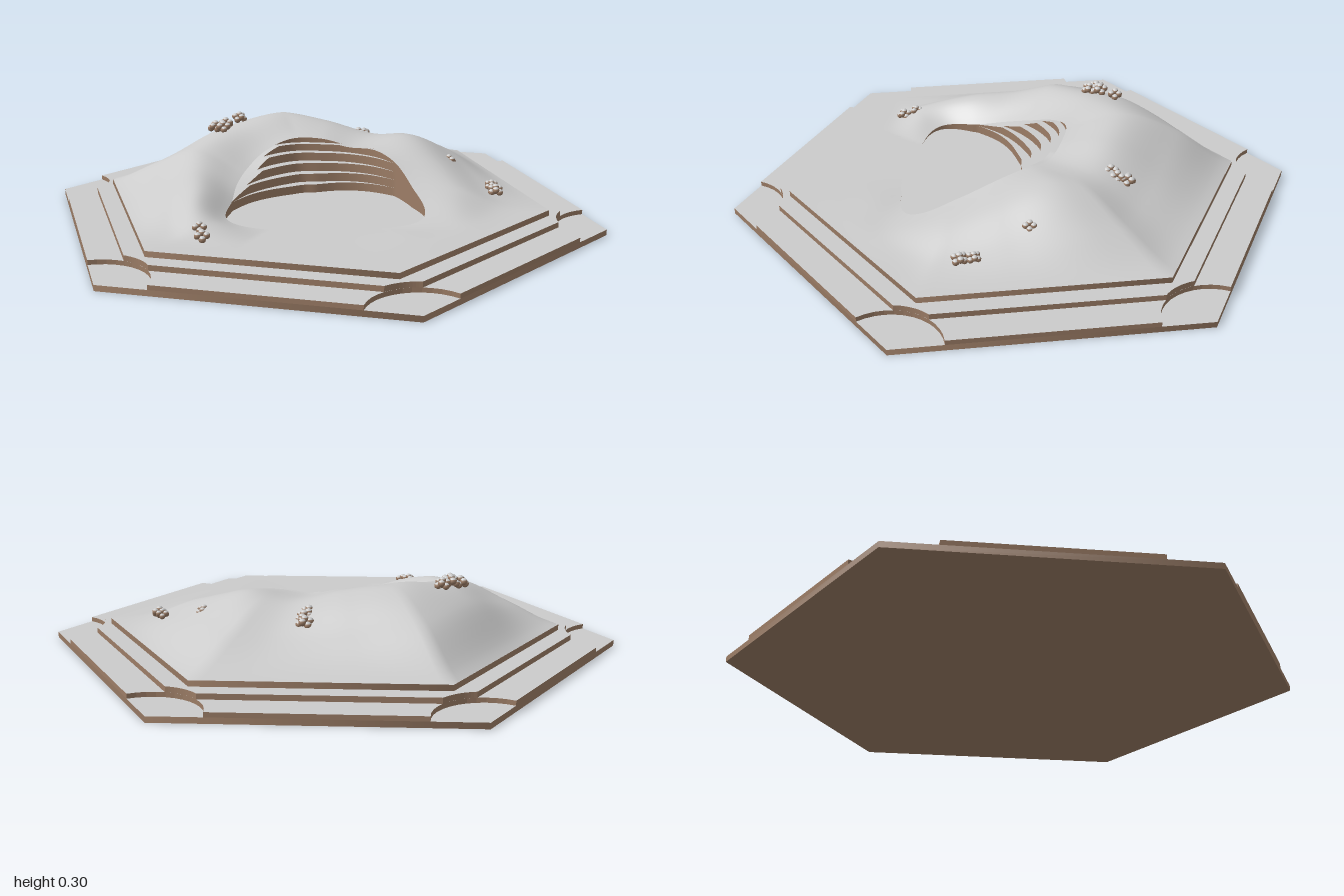
import * as THREE from 'three';

const grey = new THREE.MeshStandardMaterial({ name: 'pale ground', color: 0xcbcbcb, side: THREE.DoubleSide });
const brown = new THREE.MeshStandardMaterial({ name: 'brown earth', color: 0x9c7d66, side: THREE.DoubleSide });

const FLOOR = 0.075, CX = -0.06, CZ = 0.1, N = 192;
// clockwise from the back, every 22.5 degrees: rim radius, rim height, two heights on the way to the edge
const sectors = [
  [0.29, 0.235, 0.285, 0.21], [0.28, 0.235, 0.26, 0.17], [0.283, 0.215, 0.22, 0.14], [0.29, 0.22, 0.24, 0.165],
  [0.30, 0.20, 0.195, 0.13], [0.34, 0.15, 0.14, 0.09], [0.417, 0.09, 0.085, 0.08], [0.34, 0.075, 0.08, 0.078],
  [0.30, 0.075, 0.075, 0.075], [0.27, 0.075, 0.075, 0.075], [0.31, 0.075, 0.075, 0.075], [0.36, 0.09, 0.125, 0.085],
  [0.29, 0.11, 0.17, 0.125], [0.27, 0.135, 0.19, 0.135], [0.27, 0.165, 0.235, 0.165], [0.28, 0.205, 0.26, 0.215],
];

function spline(a, b, c, d, t) {
  return b + 0.5 * t * (c - a + t * (2 * a - 5 * b + 4 * c - d + t * (3 * (b - c) + d - a)));
}

function sectorAt(angle) {
  const f = (angle / (Math.PI * 2)) * 16, i = Math.floor(f);
  const s = k => sectors[(i + k + 16) % 16];
  return [0, 1, 2, 3].map(j => {
    const v = spline(s(-1)[j], s(0)[j], s(1)[j], s(2)[j], f - i);
    return j ? Math.max(FLOOR, v) : v;
  });
}

// distance from the hollow's centre to the edge of the top hexagon
function edgeAt(angle) {
  let best = 9;
  for (let k = 0; k < 6; k++) {
    const nx = Math.cos(k * Math.PI / 3), nz = Math.sin(k * Math.PI / 3);
    const along = nx * Math.sin(angle) - nz * Math.cos(angle);
    if (along > 0.01) best = Math.min(best, (0.695 - nx * CX - nz * CZ) / along);
  }
  return best;
}

// closed surface of rings; row(angle) gives [radius, height] pairs
function rings(name, row, material) {
  const pos = [], idx = [];
  let m = 0;
  for (let i = 0; i < N; i++) {
    const a = i / N * Math.PI * 2, pts = row(a);
    m = pts.length;
    for (const [r, y] of pts) pos.push(CX + r * Math.sin(a), y, CZ - r * Math.cos(a));
  }
  for (let i = 0; i < N; i++) {
    for (let j = 0; j < m - 1; j++) {
      const p = i * m + j, q = ((i + 1) % N) * m + j;
      idx.push(p, q, p + 1, q, q + 1, p + 1);
    }
  }
  // wind so that the surface faces up
  for (let k = 0; k < idx.length; k += 3) [idx[k + 1], idx[k + 2]] = [idx[k + 2], idx[k + 1]];
  const g = new THREE.BufferGeometry();
  g.setAttribute('position', new THREE.Float32BufferAttribute(pos, 3));
  g.setIndex(idx);
  g.computeVertexNormals();
  const mesh = new THREE.Mesh(g, material);
  mesh.name = name;
  return mesh;
}

function hillRow(a) {
  const [r, h0, h1, h2] = sectorAt(a), edge = edgeAt(a), out = [];
  const h = [2 * h0 - h1, h0, h1, h2, FLOOR, FLOOR];
  for (let j = 0; j <= 24; j++) {
    const s = j / 24, f = Math.min(s * 3, 2.9999), i = Math.floor(f);
    const y = j === 24 ? FLOOR : spline(h[i], h[i + 1], h[i + 2], h[i + 3], f - i);
    out.push([r + (edge - r) * s, Math.max(FLOOR, y)]);
  }
  return out;
}

// stepped wall of the hollow: the steps narrow to nothing at the sides
const levels = [FLOOR, 0.105, 0.135, 0.165, 0.195, 0.22, 1];
const depths = [0.16, 0.125, 0.09, 0.055, 0.025, 0];
function stepPoint(a, k, level) {
  const [r, top] = sectorAt(a);
  return [r - depths[k] * Math.max(0, Math.cos(a)), Math.min(levels[level], top)];
}

function hexPlate(name, y, height) {
  return (radius) => {
    const mesh = new THREE.Mesh(new THREE.CylinderGeometry(radius, radius, height, 6), [brown, grey, brown]);
    mesh.position.y = y + height / 2;
    mesh.name = name;
    return mesh;
  };
}

// hexagon plate with a round bite taken out around each corner
function bittenPlate(name, apothem, y, height) {
  const bite = 0.172, pts = [];
  const half = Math.acos((0.866 - apothem) / bite) - Math.PI / 6;
  for (let k = 0; k < 6; k++) {
    const u = Math.PI / 6 + k * Math.PI / 3;
    for (let j = 0; j <= 12; j++) {
      const p = half * (j / 6 - 1);
      const d = u + Math.PI - p;
      pts.push(new THREE.Vector2(Math.cos(u) + bite * Math.cos(d), Math.sin(u) + bite * Math.sin(d)));
    }
  }
  const g = new THREE.ExtrudeGeometry(new THREE.Shape(pts), { depth: height, bevelEnabled: false });
  g.rotateX(-Math.PI / 2);
  const mesh = new THREE.Mesh(g, [grey, brown]);
  mesh.position.y = y;
  mesh.name = name;
  return mesh;
}

// rounded pebbles, pale on top and brown below
const SPLIT = 1.05;
const capGeo = new THREE.SphereGeometry(0.014, 12, 5, 0, Math.PI * 2, 0, SPLIT);
const bodyGeo = new THREE.SphereGeometry(0.014, 12, 7, 0, Math.PI * 2, SPLIT, Math.PI - SPLIT);
function pebbleClump(x, y, z, size) {
  const clump = new THREE.Group();
  clump.name = 'pebbleClump';
  for (let i = 0; i < 8; i++) {
    const a = i * Math.PI / 3 + x * 9, r = i < 6 ? 0.019 : 0;
    for (const [geo, mat, name] of [[capGeo, grey, 'pebbleTop'], [bodyGeo, brown, 'pebbleSide']]) {
      const m = new THREE.Mesh(geo, mat);
      m.name = name;
      m.position.set(r * Math.cos(a), i < 6 ? (i % 2) * 0.012 - 0.004 : (i - 6) * 0.016, r * Math.sin(a));
      clump.add(m);
    }
  }
  clump.position.set(x, y, z);
  clump.scale.setScalar(size);
  return clump;
}

export function createModel() {
  const model = new THREE.Group();
  model.name = 'hillTile';

  // stacked base
  model.add(hexPlate('basePlate', 0, 0.02)(1));
  model.add(bittenPlate('lowerTier', 0.866, 0.02, 0.016));
  model.add(bittenPlate('middleTier', 0.757, 0.036, 0.019));
  model.add(hexPlate('upperTier', 0.055, 0.02)(0.803));

  // hill around the hollow
  model.add(rings('hill', hillRow, grey));

  // steps in the hollow
  for (let k = 0; k < 6; k++) {
    model.add(rings('stepRiser', a => [stepPoint(a, k, k), stepPoint(a, k, k + 1)], brown));
    if (k < 5) model.add(rings('stepTread', a => [stepPoint(a, k, k + 1), stepPoint(a, k + 1, k + 1)], grey));
  }

  // pebbles: x, y, z, size
  const clumps = [
    [-0.31, 0.258, -0.35, 0.9], [-0.27, 0.266, -0.355, 0.9], [-0.288, 0.262, -0.32, 0.9], [-0.207, 0.274, -0.4, 0.85],
    [0.235, 0.205, -0.295, 0.9], [0.262, 0.195, -0.312, 0.9], [0.275, 0.187, -0.345, 0.9],
    [0.48, 0.165, 0.02, 0.8], [0.565, 0.118, 0.21, 0.75], [0.56, 0.113, 0.255, 0.85],
    [-0.507, 0.105, 0.325, 0.8], [-0.508, 0.092, 0.372, 0.85],
  ];
  for (const c of clumps) model.add(pebbleClump(...c));
  return model;
}
